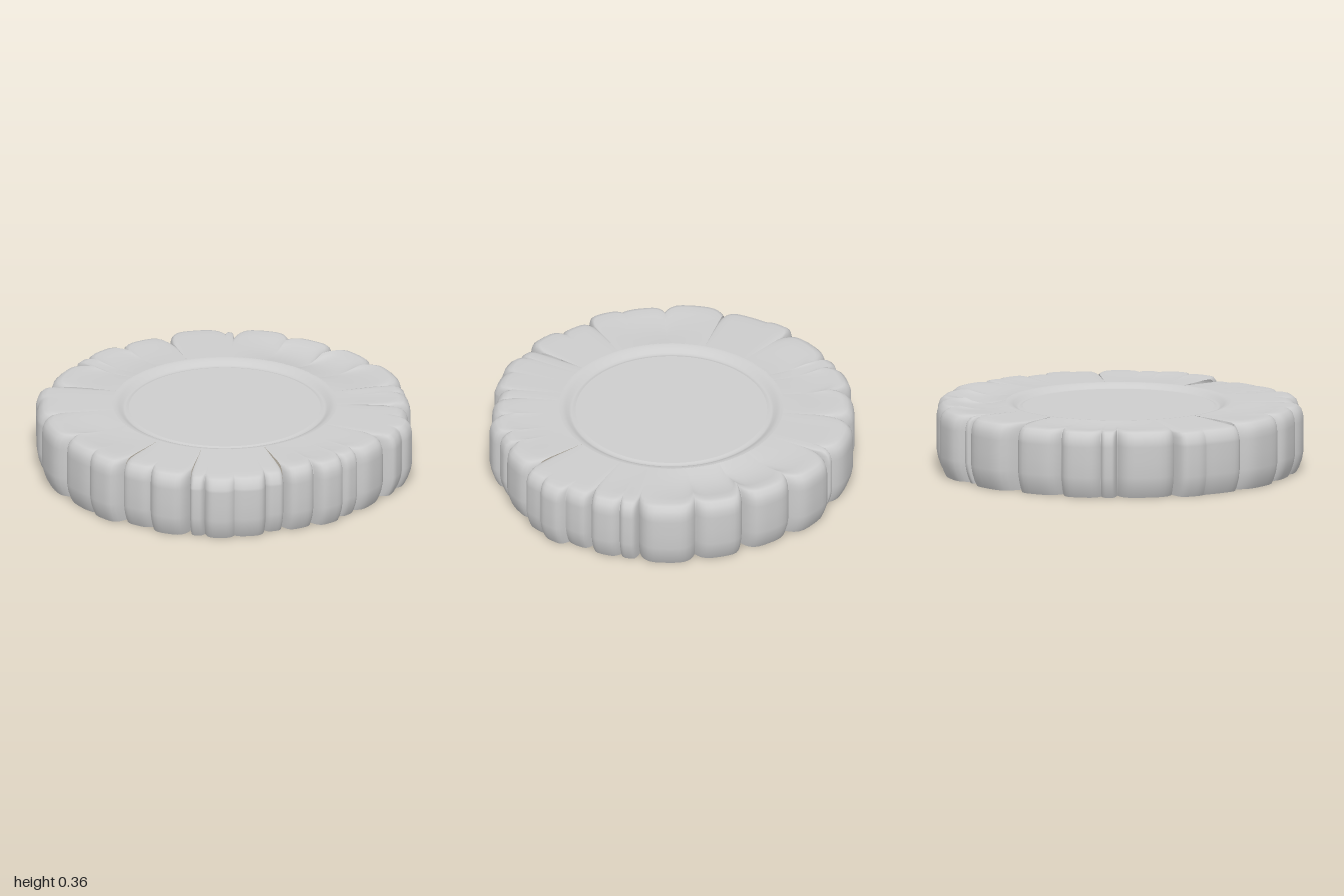
import * as THREE from 'three';

// Lobes of the outer edge, clockwise from the back:
// notch x, notch z, crest radius of the lobe that follows (hundredths)
const LOBES = [
  -8, -87, 97.6, 21, -88, 95, 44, -74, 96, 67, -61, 98,
  83, -36, 96.5, 89, -28, 97, 89, -11, 96, 95, 2, 100,
  96, 17, 98, 84, 28, 95.5, 76, 49, 94, 70, 58, 96,
  57, 69, 93.5, 42, 76, 92, 34, 83, 95.5, 19, 92, 97,
  3, 92, 95, -5, 88, 96.5, -26, 87, 93.5, -41, 79, 97,
  -60, 73, 96, -73, 54, 98, -89, 27, 98, -98, 4, 99.7,
  -90, -11, 96.5, -80, -39, 96, -79, -48, 97, -63, -63, 95.5,
  -40, -75, 97, -13, -90, 94,
];
// Each stone: first lobe, outer top height, hollow in the top
const STONES = [
  [0, 0.357, 0.025], [4, 0.355, 0.004], [6, 0.35, 0], [9, 0.358, 0.006],
  [13, 0.337, 0], [17, 0.35, 0], [19, 0.357, 0.01], [22, 0.343, 0],
  [24, 0.35, 0.012], [28, 0.356, 0],
];
const INNER = 0.585;
const COUNT = LOBES.length / 3;
const STEPS = 14;

// Angle (clockwise from the back) and radius of notch i
function notch(i) {
  const k = i % COUNT;
  const x = LOBES[k * 3] / 100, z = LOBES[k * 3 + 1] / 100;
  let a = Math.atan2(x, -z);
  if (k > 0 && a < 0) a += Math.PI * 2;
  if (i >= COUNT) a += Math.PI * 2;
  return { a, r: Math.hypot(x, z) };
}

// Outline points of a run of lobes
function outline(first, last) {
  const pts = [];
  for (let i = first; i < last; i++) {
    const p = notch(i), q = notch(i + 1), crest = LOBES[i * 3 + 2] / 100;
    for (let s = i === first ? 0 : 1; s <= STEPS; s++) {
      const t = (1 - Math.cos(Math.PI * s / STEPS)) / 2;
      const base = p.r + (q.r - p.r) * t;
      const bulge = 1 - Math.pow(Math.abs(2 * t - 1), 4.5);
      pts.push({ a: p.a + (q.a - p.a) * t, r: base + (crest - base) * bulge, crest });
    }
  }
  return pts;
}

// One stone: a sheet over the top, round the shoulder and down the wall
function stoneGeometry(first, last, height, hollow) {
  const pts = outline(first, last);
  const a0 = pts[0].a, a1 = pts[pts.length - 1].a;
  const wall = [ // inset from the outline, y
    [0.06, height], [0.035, height - 0.006], [0.013, height - 0.025], [0.003, height - 0.055],
    [0, 0.27], [0, 0.19], [0, 0.11], [0.008, 0.065], [0.022, 0.025], [0.035, 0],
  ];
  const position = [], index = [];
  const topRows = 6, rows = topRows + wall.length;
  pts.forEach(({ a, r }, i) => {
    const u = (a - a0) / (a1 - a0);
    const edge = Math.pow(Math.abs(2 * u - 1), 10); // sinks next to a joint
    for (let j = 0; j < rows; j++) {
      let rad, y;
      if (j < topRows) {
        const f = j / topRows;
        rad = INNER + (r - 0.06 - INNER) * f;
        y = 0.35 + (height - 0.35) * f - hollow * Math.sin(Math.PI * f) * Math.sin(Math.PI * u);
        y -= 0.006 * edge * f;
      } else {
        const [inset, h] = wall[j - topRows];
        rad = r - inset;
        y = h - (h > 0.28 ? 0.008 * edge : 0);
      }
      position.push(rad * Math.sin(a), y, -rad * Math.cos(a));
      if (i > 0 && j > 0) {
        const n = i * rows + j, m = n - rows;
        index.push(m - 1, n - 1, n, m - 1, n, m);
      }
    }
  });
  const geo = new THREE.BufferGeometry();
  geo.setAttribute('position', new THREE.Float32BufferAttribute(position, 3));
  geo.setIndex(index);
  geo.computeVertexNormals();
  return geo;
}

export function createModel() {
  const group = new THREE.Group();
  group.name = 'stoneRing';
  const stone = new THREE.MeshStandardMaterial({ color: 0xcccccc, side: THREE.DoubleSide });
  stone.name = 'light grey stone';
  const add = (name, geo) => {
    const mesh = new THREE.Mesh(geo, stone);
    mesh.name = name;
    group.add(mesh);
    return mesh;
  };

  // Ring of stones, open underneath
  STONES.forEach(([first, height, hollow], i) => {
    const last = i + 1 < STONES.length ? STONES[i + 1][0] : COUNT;
    add('rimStone' + (i + 1), stoneGeometry(first, last, height, hollow));
  });

  // Rounded lip stepping down to the middle
  const lip = [[0.588, 0.35], [0.57, 0.348], [0.55, 0.339], [0.535, 0.326], [0.522, 0.321], [0.51, 0.324], [0.498, 0.328]];
  add('innerLip', new THREE.LatheGeometry(lip.map(([x, y]) => new THREE.Vector2(x, y)), 64));

  // Flat middle
  const disc = add('centreDisc', new THREE.CircleGeometry(0.5, 64).rotateX(-Math.PI / 2));
  disc.position.y = 0.328;

  return group;
}
